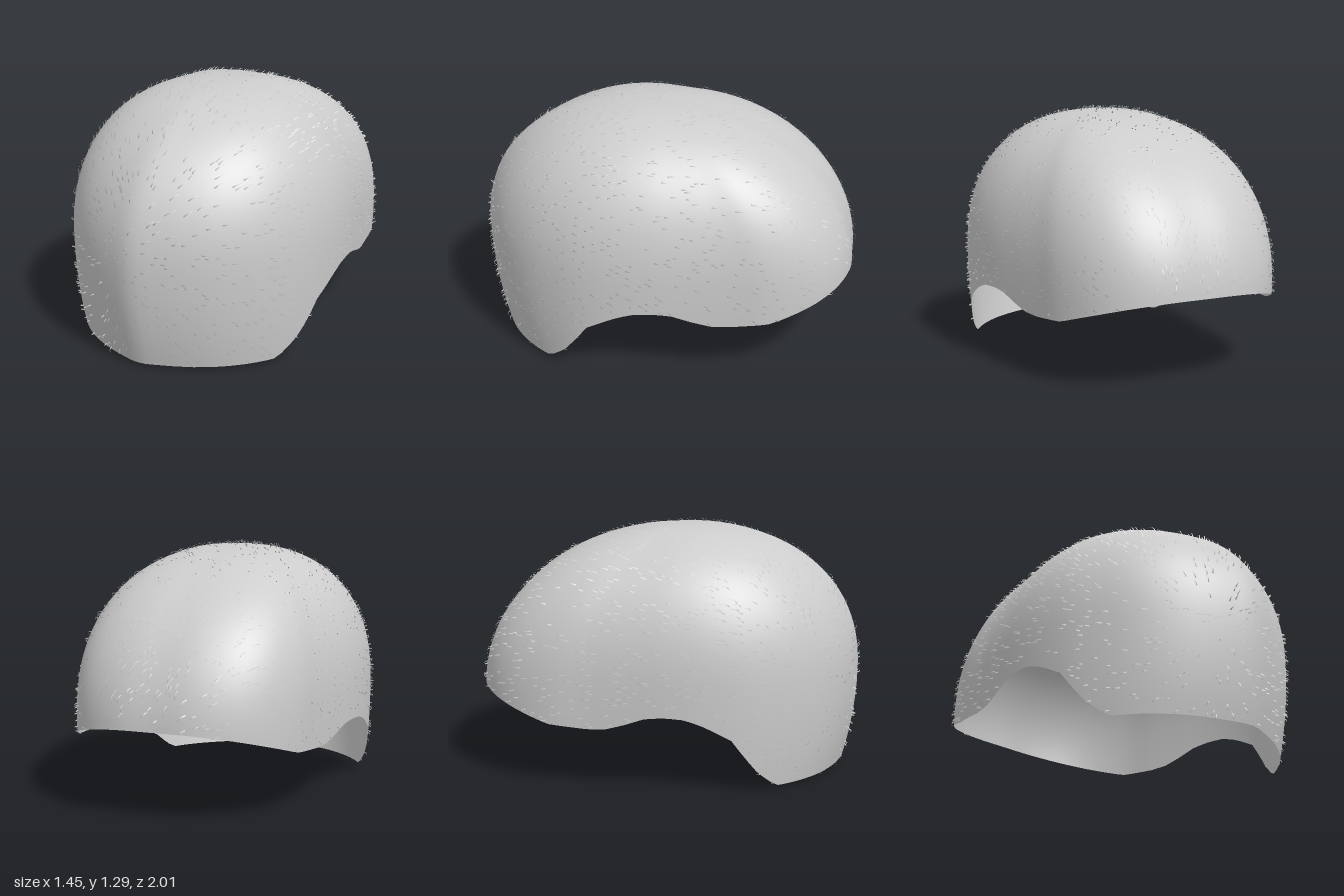
import * as THREE from 'three';

const capGrey = new THREE.MeshStandardMaterial({ color: 0xcccccc, side: THREE.DoubleSide });
capGrey.name = 'capGrey';

const APEX = 1.262, CENTRE_Z = 0.1, AROUND = 112, UP = 36;

// Plan outline of the widest level, nose to nape, as [x, z]
const half = [[0, 1], [0.13, 0.965], [0.25, 0.915], [0.37, 0.845], [0.48, 0.75], [0.57, 0.64],
  [0.635, 0.52], [0.685, 0.38], [0.708, 0.2], [0.7, 0], [0.668, -0.2], [0.632, -0.4],
  [0.595, -0.6], [0.5, -0.79], [0.37, -0.91], [0.19, -0.98], [0, -0.985]];
const ring = [...half, ...half.slice(1, -1).reverse().map(([x, z]) => [-x, z])];
const outline = new THREE.CatmullRomCurve3(ring.map(([x, z]) => new THREE.Vector3(x, 0, z)), true);

// Height of the open rim along the length, as [z, y]
const rim = [[-0.99, 0.44], [-0.8, 0.375], [-0.6, 0.31], [-0.4, 0.295], [-0.3, 0.3], [-0.2, 0.33],
  [-0.1, 0.367], [0, 0.375], [0.1, 0.367], [0.2, 0.33], [0.33, 0.26], [0.4, 0.17], [0.48, 0.08],
  [0.59, 0], [1.01, 0]];
function rimHeight(z) {
  const i = Math.max(1, rim.findIndex(p => p[0] >= z));
  const [a, b] = [rim[i - 1], rim[i]];
  return THREE.MathUtils.mapLinear(z, a[0], b[0], a[1], b[1]);
}

// How far a level shrinks: domed above y0, tapering slightly below it
function shrink(y, y0, power, taper) {
  if (y < y0) return 1 - taper * ((y0 - y) / y0) ** 2;
  return Math.max(0, 1 - ((y - y0) / (APEX - y0)) ** power) ** (1 / power);
}

function shellPoint(u, v) {
  const p = outline.getPointAt(u % 1);
  const r = rimHeight(p.z);
  const y = r + (APEX - r) * Math.sin(v * Math.PI / 2);
  const front = THREE.MathUtils.smoothstep(p.z, -0.4, 0.6);
  const along = THREE.MathUtils.lerp(shrink(y, 0.4, 2.08, 0), shrink(y, 0.5, 2.2, 0.08), front);
  return new THREE.Vector3(p.x * shrink(y, 0.5, 2.38, 0.04), y, CENTRE_Z + (p.z - CENTRE_Z) * along);
}

// Open domed shell, skinned from rim to crown
function buildShell() {
  const pos = [], index = [];
  for (let j = 0; j < UP; j++)
    for (let i = 0; i < AROUND; i++) pos.push(...shellPoint(i / AROUND, j / UP).toArray());
  const top = AROUND * UP;
  pos.push(0, APEX, CENTRE_Z);
  for (let j = 0; j < UP; j++)
    for (let i = 0; i < AROUND; i++) {
      const n = (i + 1) % AROUND, a = j * AROUND + i, b = j * AROUND + n;
      if (j === UP - 1) index.push(a, b, top);
      else index.push(a, b, b + AROUND, a, b + AROUND, a + AROUND);
    }
  return toGeometry(pos, index);
}

function toGeometry(pos, index) {
  const g = new THREE.BufferGeometry();
  g.setAttribute('position', new THREE.Float32BufferAttribute(pos, 3));
  g.setIndex(index);
  g.computeVertexNormals();
  return g;
}

// Short arched blades scattered evenly, combed back from a whorl on the front
function buildHair(shell) {
  let seed = 7;
  const rnd = () => (seed = (seed * 16807) % 2147483647) / 2147483647;
  const whorl = new THREE.Vector3(-0.2, 0.52, 1);
  const pos = [], index = [];
  const p = shell.attributes.position, ids = shell.index.array;
  const tri = new THREE.Triangle(), normal = new THREE.Vector3(), root = new THREE.Vector3();
  for (let t = 0; t < ids.length; t += 3) {
    tri.setFromAttributeAndIndices(p, ids[t], ids[t + 1], ids[t + 2]);
    if (rnd() > tri.getArea() * 200) continue;
    tri.getMidpoint(root);
    tri.getNormal(normal);
    // Strands below the whorl sweep sideways and get shorter
    const dir = root.clone().sub(whorl);
    if (dir.y < 0) dir.y *= 0.35;
    dir.addScaledVector(normal, -dir.dot(normal)).normalize();
    const side = new THREE.Vector3().crossVectors(normal, dir);
    dir.addScaledVector(side, (rnd() - 0.5) * 0.3).normalize();
    const low = THREE.MathUtils.smoothstep(root.y, 0, 0.8);
    const length = (0.035 + rnd() * 0.03) * (0.6 + 0.4 * low), lift = 0.012 + rnd() * 0.005;
    const start = pos.length / 3;
    for (let k = 0; k <= 4; k++) {
      const s = k / 4, w = 0.0035 * (1 - s * 0.85);
      const c = root.clone().addScaledVector(dir, length * s)
        .addScaledVector(normal, lift * Math.sin(s * 2.8));
      pos.push(...c.clone().addScaledVector(side, w).toArray(), ...c.addScaledVector(side, -w).toArray());
      if (k < 4) {
        const a = start + k * 2;
        index.push(a, a + 1, a + 3, a, a + 3, a + 2);
      }
    }
  }
  return toGeometry(pos, index);
}

export function createModel() {
  const group = new THREE.Group();
  group.name = 'hairCap';
  const shell = new THREE.Mesh(buildShell(), capGrey);
  shell.name = 'scalpShell';
  const hair = new THREE.Mesh(buildHair(shell.geometry), capGrey);
  hair.name = 'hairStrands';
  group.add(shell, hair);
  return group;
}
